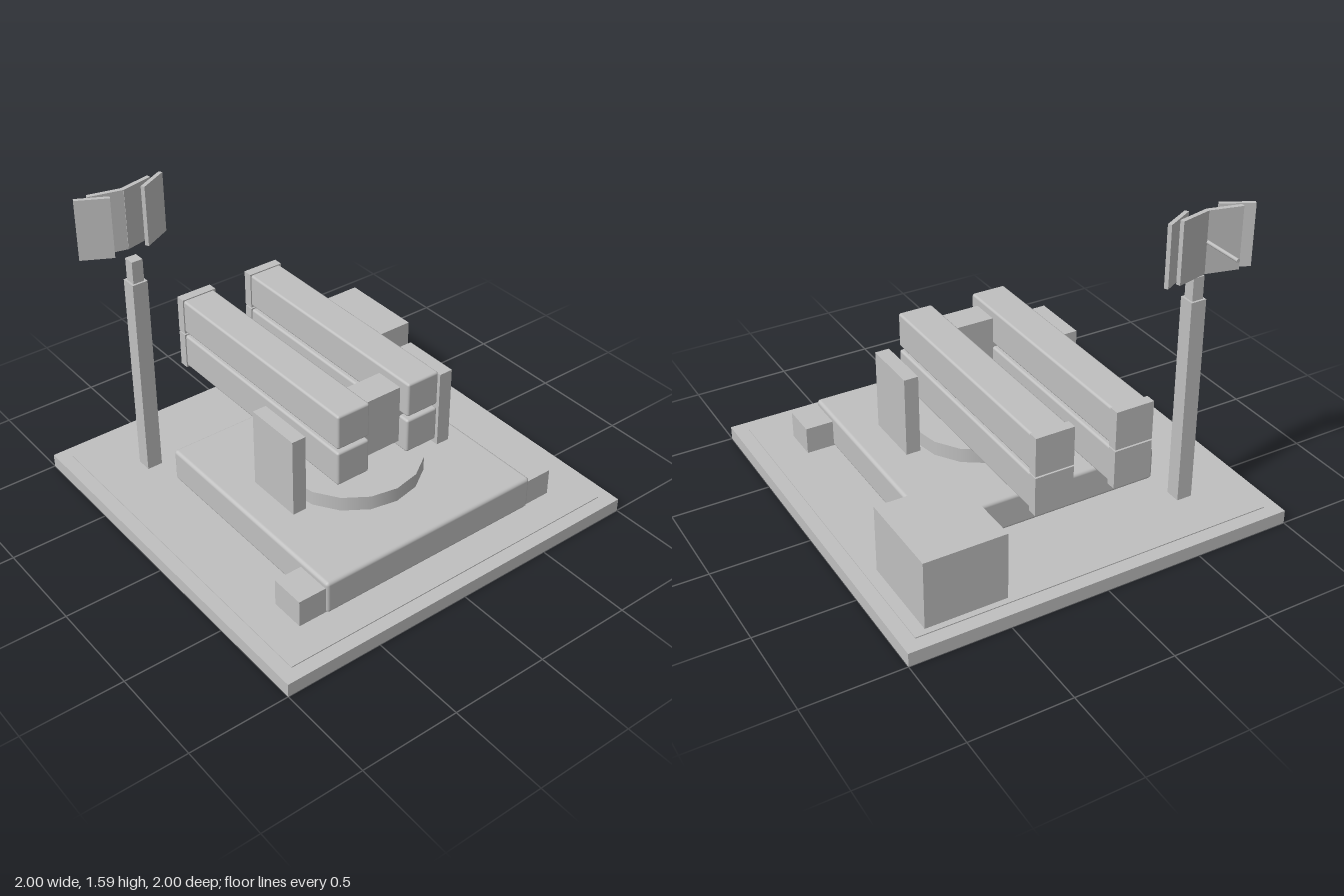
import * as THREE from 'three';
import { RoundedBoxGeometry } from 'three/addons/geometries/RoundedBoxGeometry.js';

export function createModel() {
  const model = new THREE.Group();
  model.name = 'launcherSite';
  const grey = new THREE.MeshStandardMaterial({ color: 0xc0c0c0 });
  grey.name = 'plain grey';

  const add = (name, geometry, x, y, z, parent = model) => {
    const mesh = new THREE.Mesh(geometry, grey);
    mesh.name = name;
    mesh.position.set(x, y, z);
    parent.add(mesh);
    return mesh;
  };
  const box = (name, w, h, d, x, y, z, parent) =>
    add(name, new THREE.BoxGeometry(w, h, d), x, y, z, parent);
  const bevelBox = (name, w, h, d, r, x, y, z, parent) =>
    add(name, new RoundedBoxGeometry(w, h, d, 2, r), x, y, z, parent);

  // Ground slab with a thin raised pad
  box('baseSlab', 2, 0.07, 2, 0, 0.035, 0);
  box('basePad', 1.86, 0.006, 1.86, 0, 0.072, 0);

  // Bevelled platform and round turntable
  bevelBox('platform', 1.225, 0.175, 1.23, 0.018, 0, 0.1575, 0.152);
  add('turntable', new THREE.CylinderGeometry(0.357, 0.357, 0.075, 16), 0, 0.2825, 0.153);

  // Equipment cabinet at the rear
  box('cabinet', 0.41, 0.35, 0.46, 0.665, 0.245, -0.67);

  // Cross block that carries the tubes
  box('cradleBlock', 0.51, 0.305, 0.15, 0, 0.6175, 0.302);

  for (const side of [-1, 1]) {
    box('cornerBlock', 0.16, 0.145, 0.18, side * 0.676, 0.1425, 0.665);
    box('sidePlate', 0.073, 0.41, 0.303, side * 0.436, 0.49, 0.182);

    // Two stacked tubes on each side, with end caps at the rear
    for (const y of [0.52, 0.722]) {
      const tube = new THREE.Group();
      tube.name = 'launchTube';
      tube.position.set(side * 0.204, y, 0);
      model.add(tube);
      bevelBox('tubeBody', 0.182, 0.182, 1.25, 0.012, 0, 0, -0.19, tube);
      box('tubeCap', 0.194, 0.194, 0.05, 0, 0, -0.828, tube);
    }
  }

  // Telescopic mast
  const mast = new THREE.Group();
  mast.name = 'radarMast';
  mast.position.set(-0.645, 0, -0.642);
  model.add(mast);
  box('mastLower', 0.08, 1.07, 0.08, 0, 0.605, 0, mast);
  box('mastUpper', 0.058, 0.115, 0.058, 0, 1.1975, 0, mast);

  // Radar dish made of four angled panels
  const dish = new THREE.Group();
  dish.name = 'radarDish';
  dish.position.set(-0.645, 1.4375, 0);
  model.add(dish);
  for (const side of [-1, 1]) {
    box('innerPanel', 0.168, 0.305, 0.022, side * 0.08, 0, -0.713, dish).rotation.y = side * 0.23;
    box('outerPanel', 0.163, 0.305, 0.02, side * 0.157, 0, -0.698, dish).rotation.y = side * 0.49;
  }
  const rod = add('feedRod', new THREE.CylinderGeometry(0.009, 0.009, 0.21, 8), 0, 0.006, -0.818, dish);
  rod.rotation.x = Math.PI / 2;

  return model;
}
